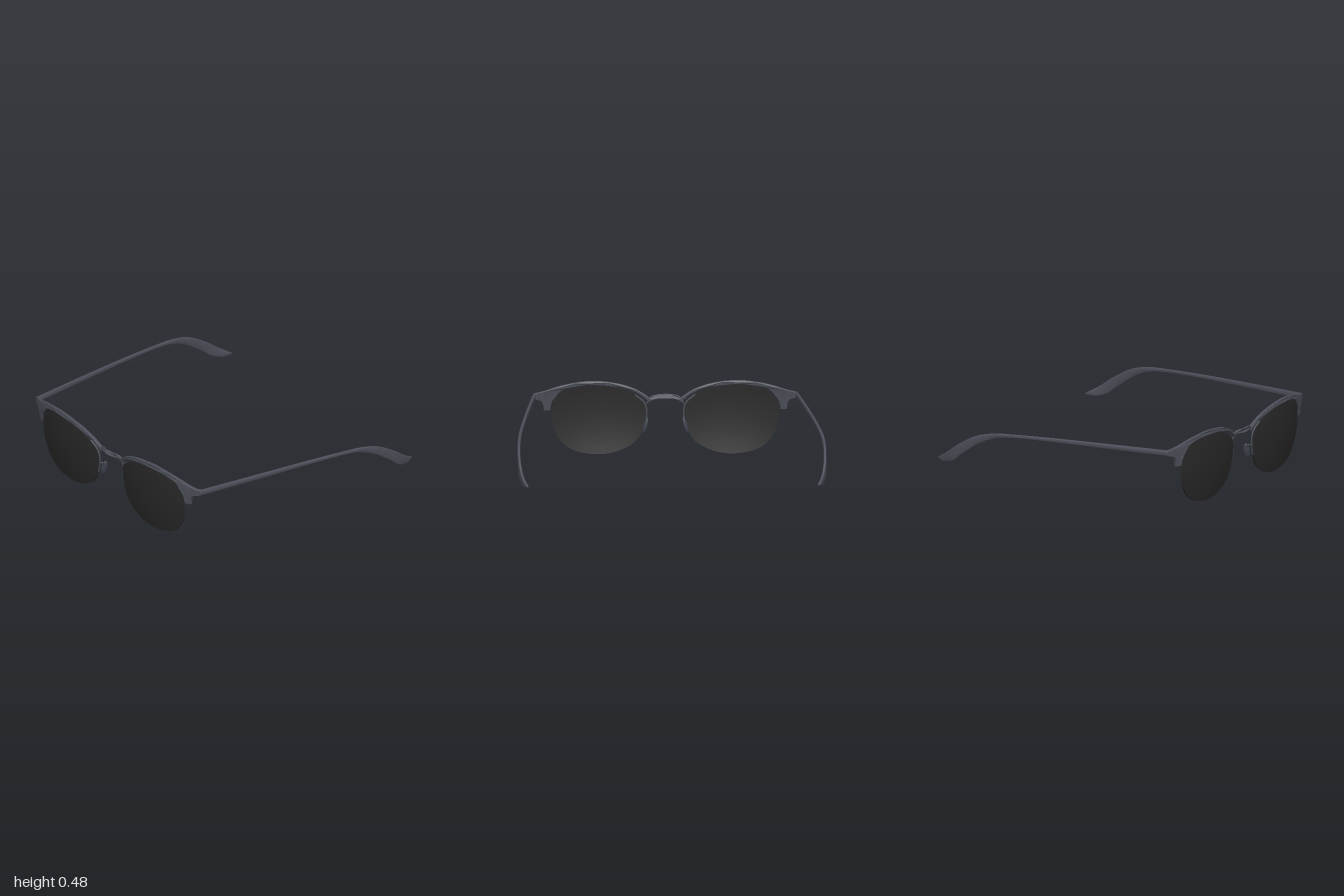
import * as THREE from 'three';
import { toCreasedNormals } from 'three/addons/utils/BufferGeometryUtils.js';

const frameMat = new THREE.MeshStandardMaterial({ color: 0x4b4e58 });
frameMat.name = 'gunmetal frame';
const lensMat = new THREE.MeshStandardMaterial({ color: 0x2a2a2a });
lensMat.name = 'dark lens';
const padMat = new THREE.MeshStandardMaterial({ color: 0x41444f });
padMat.name = 'nose pad grey';

const v2 = (p) => new THREE.Vector2(p[0], p[1]);
const v3 = (p) => new THREE.Vector3(p[0], p[1], p[2]);

// Curved front face shared by lenses, brows and rims
const domeZ = (x, y) => 0.88 - 0.4 * (x - 0.38) ** 2 - 0.33 * (y - 0.36) ** 2;

// Closed skin over equal-length rings of points
function loft(rings, crease = 0.7) {
  const n = rings[0].length, pos = [], idx = [];
  rings.forEach((r) => r.forEach((p) => pos.push(p.x, p.y, p.z)));
  const centre = (r) => {
    const c = new THREE.Vector3();
    r.forEach((p) => c.addScaledVector(p, 1 / n));
    pos.push(c.x, c.y, c.z);
    return pos.length / 3 - 1;
  };
  const c0 = centre(rings[0]), c1 = centre(rings[rings.length - 1]);
  const last = (rings.length - 1) * n;
  for (let j = 0; j < n; j++) {
    const k = (j + 1) % n;
    for (let i = 0; i < last; i += n) idx.push(i + j, i + k, i + n + j, i + k, i + n + k, i + n + j);
    idx.push(c0, k, j, c1, last + j, last + k);
  }
  const g = new THREE.BufferGeometry();
  g.setAttribute('position', new THREE.Float32BufferAttribute(pos, 3));
  g.setIndex(idx);
  return toCreasedNormals(g, crease);
}

// Flat outline extruded, then bent so that z follows zAt(x, y)
function bentPlate(shape, depth, zAt, curveSegments) {
  const g = new THREE.ExtrudeGeometry(shape, {
    depth, curveSegments, bevelThickness: 0.003, bevelSize: 0.003, bevelOffset: -0.003, bevelSegments: 1,
  });
  const p = g.attributes.position;
  for (let i = 0; i < p.count; i++) p.setZ(i, p.getZ(i) - depth / 2 + zAt(p.getX(i), p.getY(i)));
  return toCreasedNormals(g, 0.6);
}

// Mirrored copy across x = 0 with the corner order restored
function mirrored(geometry) {
  const g = geometry.index ? geometry.toNonIndexed() : geometry.clone();
  for (const name of ['position', 'normal']) {
    const a = g.attributes[name];
    for (let i = 0; i < a.count; i += 3) {
      const t = [0, 1, 2].map((k) => [-a.getX(i + k), a.getY(i + k), a.getZ(i + k)]);
      a.setXYZ(i, ...t[0]);
      a.setXYZ(i + 1, ...t[2]);
      a.setXYZ(i + 2, ...t[1]);
    }
  }
  return g;
}

function lensGeometry() {
  const outline = new THREE.SplineCurve([
    [0.122, 0.3], [0.138, 0.185], [0.195, 0.09], [0.3, 0.03], [0.425, 0.008], [0.57, 0.03],
    [0.66, 0.085], [0.715, 0.17], [0.735, 0.29], [0.717, 0.38], [0.65, 0.438], [0.49, 0.458],
    [0.33, 0.442], [0.195, 0.39], [0.138, 0.345], [0.122, 0.3],
  ].map(v2)).getPoints(75).slice(0, -1);
  const ring = (t, dz) => outline.map((p) => {
    const x = 0.43 + (p.x - 0.43) * t, y = 0.24 + (p.y - 0.24) * t;
    return new THREE.Vector3(x, y, domeZ(x, y) + dz);
  });
  const steps = [0.15, 0.4, 0.6, 0.8, 1];
  return loft([...steps.map((t) => ring(t, -0.005)), ...steps.reverse().map((t) => ring(t, 0.005))]);
}

function browGeometry() {
  const s = new THREE.Shape();
  s.moveTo(0.105, 0.35);
  s.splineThru([[0.2, 0.414], [0.33, 0.444], [0.49, 0.455], [0.65, 0.435], [0.715, 0.38], [0.735, 0.345], [0.745, 0.302]].map(v2));
  s.lineTo(0.785, 0.305);
  s.splineThru([[0.79, 0.34], [0.805, 0.367], [0.85, 0.383]].map(v2));
  s.lineTo(0.853, 0.421);
  s.splineThru([[0.78, 0.434], [0.65, 0.466], [0.49, 0.484], [0.33, 0.471], [0.195, 0.433], [0.103, 0.378]].map(v2));
  s.closePath();
  return bentPlate(s, 0.016, domeZ, 5);
}

function bridgeGeometry() {
  const s = new THREE.Shape();
  s.moveTo(-0.125, 0.325);
  s.splineThru([[-0.105, 0.345], [-0.07, 0.362], [0, 0.366], [0.07, 0.362], [0.105, 0.345], [0.125, 0.325]].map(v2));
  s.lineTo(0.115, 0.368);
  s.splineThru([[0.08, 0.391], [0, 0.396], [-0.08, 0.391], [-0.115, 0.368]].map(v2));
  s.closePath();
  const z = (x) => 0.848 + 0.014 * (1 + Math.cos(Math.PI * Math.min(1, Math.abs(x) / 0.11)));
  return bentPlate(s, 0.004, z, 6);
}

// Temple arm: matching upper and lower edge curves skinned with a rounded section
function templeGeometry() {
  const top = new THREE.CatmullRomCurve3([
    [0.845, 0.423, 0.8], [0.895, 0.422, 0.4], [0.94, 0.419, 0], [0.97, 0.411, -0.3], [0.98, 0.403, -0.43],
    [0.988, 0.373, -0.56], [0.985, 0.297, -0.7], [0.97, 0.232, -0.79], [0.938, 0.178, -0.88],
  ].map(v3));
  const bottom = new THREE.CatmullRomCurve3([
    [0.845, 0.385, 0.8], [0.895, 0.388, 0.4], [0.94, 0.392, 0], [0.97, 0.388, -0.3], [0.978, 0.374, -0.41],
    [0.988, 0.328, -0.53], [0.99, 0.243, -0.66], [0.983, 0.185, -0.735], [0.96, 0.159, -0.82],
  ].map(v3));
  const soft = (v) => Math.sign(v) * Math.sqrt(Math.abs(v));
  const rings = [], steps = 48, sides = 16;
  for (let i = 0; i <= steps; i++) {
    const a = top.getPoint(i / steps), b = bottom.getPoint(i / steps);
    const mid = a.clone().add(b).multiplyScalar(0.5), up = a.sub(b).multiplyScalar(0.5);
    const halfWidth = i === steps ? 0.006 : 0.01;
    rings.push(Array.from({ length: sides }, (_, j) => {
      const t = (j / sides) * Math.PI * 2;
      const p = mid.clone().addScaledVector(up, soft(Math.cos(t)));
      p.x += halfWidth * soft(Math.sin(t));
      return p;
    }));
  }
  return loft(rings, 0.8);
}

const wire = (points, radius) =>
  new THREE.TubeGeometry(new THREE.CatmullRomCurve3(points.map(v3)), 24, radius, 8);

export function createModel() {
  const model = new THREE.Group();
  model.name = 'sunglasses';

  const add = (name, geometry, material) => {
    const mesh = new THREE.Mesh(geometry, material);
    mesh.name = name;
    model.add(mesh);
  };
  const addPair = (name, geometry, material) => {
    add('left' + name, geometry, material);
    add('right' + name, mirrored(geometry), material);
  };

  addPair('Lens', lensGeometry(), lensMat);
  addPair('Brow', browGeometry(), frameMat);
  addPair('Temple', templeGeometry(), frameMat);
  add('bridge', bridgeGeometry(), frameMat);

  // Hinge block behind the end of the brow
  const hinge = new THREE.BoxGeometry(0.024, 0.032, 0.035);
  hinge.translate(0.838, 0.403, 0.785);
  addPair('Hinge', hinge, frameMat);

  // Thin rim along the inner lens edge
  const rim = [[0.195, 0.392], [0.138, 0.346], [0.121, 0.3], [0.124, 0.24], [0.139, 0.183]]
    .map(([x, y]) => [x, y, domeZ(x, y)]);
  addPair('InnerRim', wire(rim, 0.006), frameMat);

  // Nose pad and the wire that carries it
  addPair('PadArm', wire([[0.124, 0.25, 0.845], [0.116, 0.245, 0.825], [0.122, 0.22, 0.812], [0.13, 0.2, 0.808]], 0.005), frameMat);
  const pad = new THREE.SphereGeometry(1, 20, 14);
  pad.scale(0.013, 0.056, 0.022);
  pad.rotateY(0.35);
  pad.rotateZ(0.25);
  pad.translate(0.131, 0.2, 0.806);
  addPair('NosePad', pad, padMat);

  return model;
}
